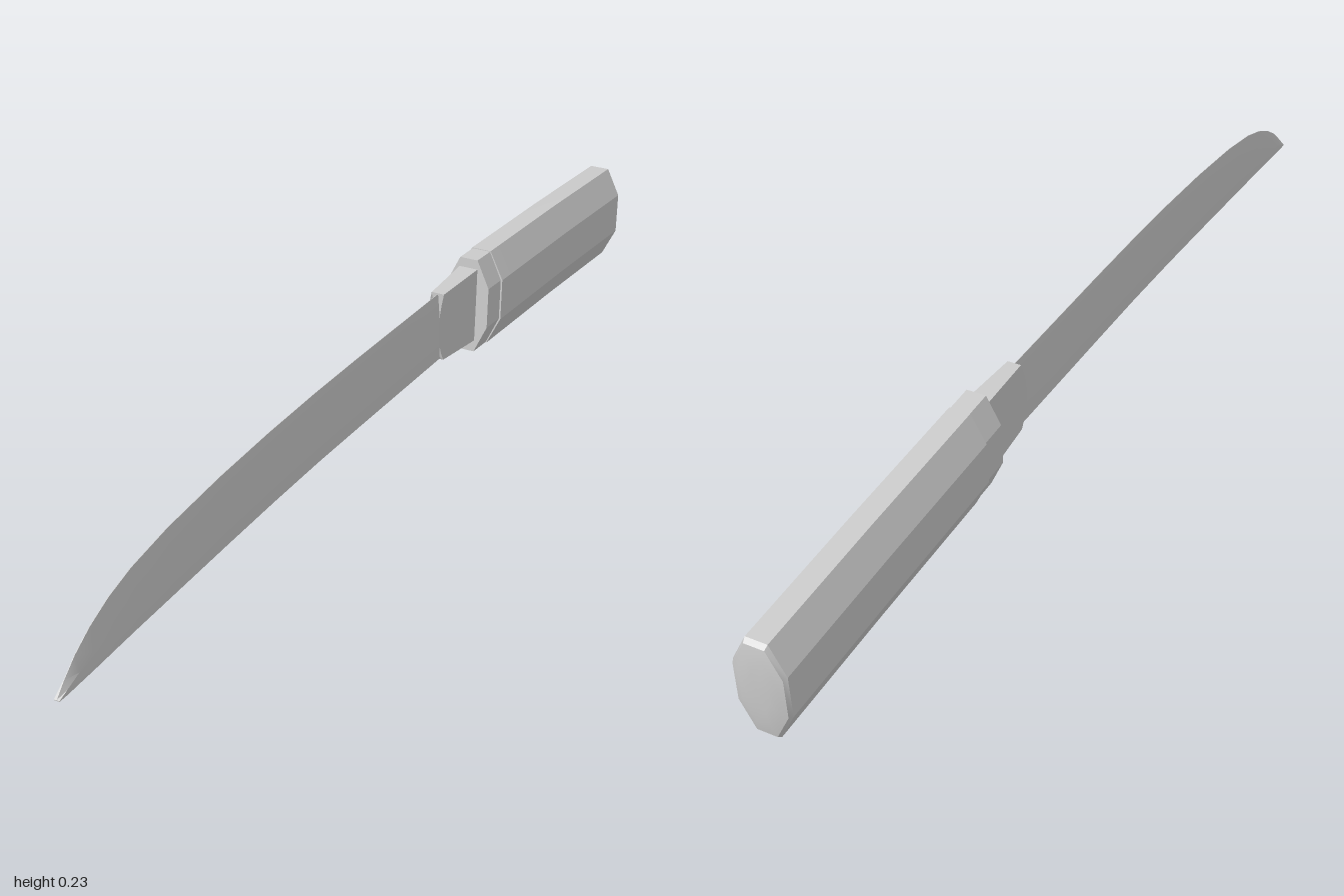
import * as THREE from 'three';
import { toCreasedNormals } from 'three/addons/utils/BufferGeometryUtils.js';

// Skin a list of rings (counter-clockwise seen from +z, ordered back to front) and cap both ends.
function loft(rings, crease = 0.3) {
  const n = rings[0].length, pos = [], idx = [];
  rings.forEach(r => r.forEach(p => pos.push(...p)));
  for (let s = 0; s < rings.length - 1; s++) {
    for (let i = 0; i < n; i++) {
      const a = s * n + i, b = s * n + (i + 1) % n;
      idx.push(a, b, b + n, a, b + n, a + n);
    }
  }
  const last = (rings.length - 1) * n;
  for (let i = 1; i < n - 1; i++) {
    idx.push(0, i + 1, i);
    idx.push(last, last + i, last + i + 1);
  }
  const g = new THREE.BufferGeometry();
  g.setAttribute('position', new THREE.Float32BufferAttribute(pos, 3));
  g.setIndex(idx);
  return toCreasedNormals(g, crease);
}

// Tall octagon centred on height cy, scaled by sx and sy; the end leans with the handle's axis.
function octagon(z, cy, sx = 1, sy = sx) {
  const half = [[0.02, -0.097], [0.048, -0.04], [0.048, 0.042], [0.02, 0.097]];
  const pts = [...half, ...half.map(([x, y]) => [-x, y]).reverse()];
  return pts.map(([x, y]) => [x * sx, cy + y * sy, z - y * sy * 0.05]);
}

// Height of the handle's centre line
const axisY = z => 0.131 + (z + 0.34) * 0.052;

export function createModel() {
  const model = new THREE.Group();
  const material = new THREE.MeshStandardMaterial({ color: 0xcccccc });
  const add = (name, geometry) => {
    const mesh = new THREE.Mesh(geometry, material);
    mesh.name = name;
    model.add(mesh);
  };

  // Grip: eight-sided bar sloping down to the back
  add('grip', loft([octagon(-0.984, axisY(-0.984)), octagon(-0.7, axisY(-0.7) + 0.002), octagon(-0.395, axisY(-0.395))]));

  // Pommel: shallow dome closing the grip
  const dome = [[-0.999, 0.02], [-0.998, 0.4], [-0.996, 0.7], [-0.992, 0.93], [-0.984, 1]];
  add('pommel', loft(dome.map(([z, s]) => octagon(z, axisY(-0.984), s)), 0.5));

  // Ferrule: slightly slimmer collar in front of the grip
  add('ferrule', loft([-0.41, -0.34].map(z => octagon(z, axisY(z), 0.93, 0.985))));

  // Blade collar: tapering block with a bowed front edge
  const steps = 8, heights = Array.from({ length: steps + 1 }, (_, i) => i / steps);
  const collarRing = (z, y0, y1, w, bow) => {
    const side = heights.map(t => [w, y0 + (y1 - y0) * t, z + bow * (1 - (2 * t - 1) ** 2)]);
    return [...side, ...side.map(([x, y, d]) => [-x, y, d]).reverse()];
  };
  add('bladeCollar', loft([
    collarRing(-0.36, 0.057, 0.208, 0.02, 0),
    collarRing(-0.214, 0.069, 0.206, 0.013, 0.02),
  ]));

  // Blade: flat spine below, ridge along the flank, cutting edge above.
  // Columns: z, spine y, ridge y, edge y, half thickness
  const stations = [
    [-0.3, 0.071, 0.125, 0.204, 0.007], [-0.1, 0.072, 0.126, 0.205, 0.007],
    [0.1, 0.073, 0.127, 0.206, 0.007], [0.25, 0.073, 0.127, 0.205, 0.007],
    [0.4, 0.07, 0.124, 0.201, 0.007], [0.55, 0.065, 0.118, 0.193, 0.007],
    [0.7, 0.059, 0.109, 0.179, 0.007], [0.8, 0.055, 0.1, 0.162, 0.007],
    [0.86, 0.052, 0.09, 0.144, 0.007], [0.91, 0.049, 0.078, 0.121, 0.0068],
    [0.95, 0.047, 0.066, 0.095, 0.0065], [0.98, 0.045, 0.054, 0.068, 0.006],
    [1.0, 0.044, 0.045, 0.046, 0.005],
  ];
  add('blade', loft(stations.map(([z, spine, ridge, edge, w]) =>
    [[w, spine, z], [w, ridge, z], [0.0005, edge, z], [-0.0005, edge, z], [-w, ridge, z], [-w, spine, z]])));

  return model;
}
